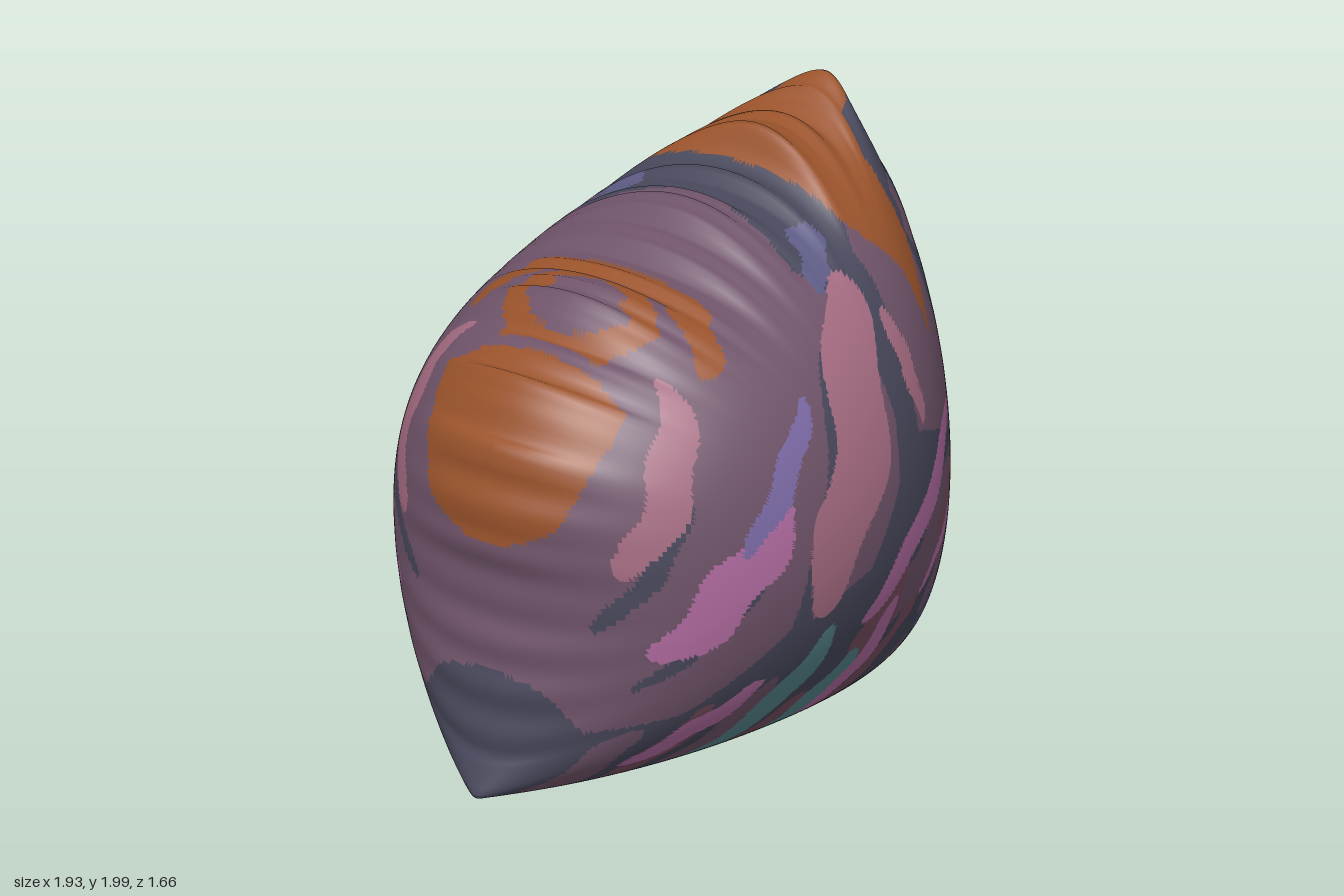
import * as THREE from 'three';

const paint = (name, color) => Object.assign(new THREE.MeshStandardMaterial({ color }), { name });
const materials = [
  paint('dark slate', 0x48485c), paint('mauve', 0x70546a), paint('dusty pink', 0xa66c82),
  paint('orchid', 0xb26ca2), paint('violet', 0x7c6aa6), paint('rust orange', 0x9a532b),
  paint('teal', 0x56868c), paint('slate blue', 0x5e5c86), paint('plum', 0x784e60),
];
const [DARK, MAUVE, PINK, ORCHID, VIOLET, ORANGE, TEAL, BLUE, PLUM] = materials.keys();

// Outline of the boulder, clockwise seen from the front
const outline = [
  [-.93, 1], [-.89, 1.23], [-.76, 1.43], [-.6, 1.5], [-.45, 1.64], [-.2, 1.63], [.1, 1.79],
  [.17, 1.75], [.36, 1.8], [.45, 1.91], [.61, 1.89], [.78, 2], [.8, 1.84], [.86, 1.74], [.89, 1.4],
  [.91, 1], [.91, .3], [.97, .06], [.5, 0], [-.35, .03], [-.97, .07], [-.92, .2], [-.89, .75],
];

// Large areas of colour, as polygons in the front plane
const orangeAreas = [
  [[.38, 2], [.37, 1.72], [.5, 1.55], [.53, 1.34], [.62, 1.6], [.63, 1.82], [.68, 1.91], [.8, 1.97], [.8, 2.1]],
  [[-1.1, 1], [-.92, .93], [-.8, 1.2], [-.65, 1.38], [-.62, 1.6], [-1, 1.6]],
];
const mauveAreas = [
  [[-1.1, .9], [-.82, .33], [-.6, .38], [-.3, .65], [0, .76], [.15, 1], [.24, 1.5], [.1, 1.64], [.2, 1.9], [-.8, 1.7]],
  [[.3, 1.12], [.31, 1.6], [.4, 1.75], [.6, 1.75], [.63, 1.4], [.7, .98]],
];

// Leaf-shaped strokes: start, end, half width
const frontStrokes = [
  [VIOLET, [[-.48, .92, -.14, 1.35, .04], [.49, .33, .62, .6, .04], [.62, .14, .84, .46, .035]]],
  [ORCHID, [[-.7, .58, -.3, 1.08, .085], [0, .56, .58, 1.11, .05], [.34, .54, .62, .82, .025],
    [-.68, .18, -.36, .46, .04], [-.02, .08, .18, .6, .05]]],
  [ORANGE, [[-.4, 1.44, -.2, 1.68, .04], [-.6, 1.49, -.32, 1.64, .022]]],
  [PINK, [[-.78, .87, -.5, 1.45, .055], [-.24, .66, .22, 1.62, .12], [.31, 1.5, .34, 1.13, .035]]],
  [TEAL, [[-.44, .02, -.13, .6, .06], [-.16, .01, .03, .46, .07]]],
  [BLUE, [[.46, 0, .62, .3, .05], [.12, 1.58, .28, 1.72, .035]]],
  [PLUM, [[.42, .7, .62, .98, .045], [0, .3, .2, .75, .08]]],
  [DARK, [[-.33, .55, 0, 1.45, .04], [-.82, .68, -.6, 1.12, .025], [-.74, .48, -.4, .85, .025],
    [.2, .95, .3, 1.75, .06]]],
  [MAUVE, [[.15, .5, .66, 1, .1], [.68, 1.53, .74, 1.75, .06]]],
];
// Slanting mauve and plum streaks fill the dark foot
for (let k = 0; k < 9; k++) {
  const x = -.9 + k * .19, low = -.06 + .06 * (k % 3);
  frontStrokes.push([k % 2 ? PLUM : MAUVE, [[x, low, x + .2, low + .4, .05]]]);
  if (k > 5) frontStrokes.push([k % 2 ? MAUVE : PLUM, [[x, .42, x + .14, .76, .05]]]);
}
// Strokes on the right flank, as distance from the ridge and height
const flankStrokes = [
  [TEAL, [[.2, .86, .2, .42, .085], [.42, 1.24, .5, .86, .045]]],
  [ORCHID, [[.32, .55, .45, .86, .03]]],
  [VIOLET, [[.2, 1.5, .24, 1.24, .04], [.36, 1.22, .38, .92, .045], [.1, .38, .26, .2, .035],
    [.42, .7, .4, .26, .035]]],
  [DARK, [[.03, 1.25, .04, .4, .06], [.1, .4, .16, .12, .03], [.23, 1.18, .23, .9, .02]]],
  [BLUE, [[.16, 1.74, .24, .84, .16], [.02, 1.62, .02, 1.15, .08], [.14, .88, .12, .44, .07], [.02, .02, .26, .4, .14]]],
  [PLUM, [[.43, 1.76, .43, 1.5, .06], [.33, .85, .32, .3, .05]]],
  [MAUVE, [[.6, 1.55, .58, 1, .06], [.5, .85, .48, .35, .05]]],
];

function inPolygon(x, y, poly) {
  let inside = false;
  poly.forEach(([ax, ay], i) => {
    const [bx, by] = poly[(i + 1) % poly.length];
    if (ay > y !== by > y && x < ax + (bx - ax) * (y - ay) / (by - ay)) inside = !inside;
  });
  return inside;
}

function inStroke(x, y, [ax, ay, bx, by, half]) {
  const dx = bx - ax, dy = by - ay, len = Math.hypot(dx, dy);
  const t = ((x - ax) * dx + (y - ay) * dy) / (len * len);
  if (t <= 0 || t >= 1) return false;
  const off = ((y - ay) * dx - (x - ax) * dy) / len;
  const wobble = half * .2 * Math.sin(t * 13 + ax * 20);
  return Math.abs(off + wobble) < half * (4 * t * (1 - t)) ** .45;
}

function colourAt(x, y, z) {
  const hit = (list, u, v) => list.find(([, strokes]) => strokes.some(s => inStroke(u, v, s)));
  if (orangeAreas.some(p => inPolygon(x, y, p))) return ORANGE;
  const flank = x > .72 && Math.abs(z) < .56;
  const found = flank ? hit(flankStrokes, Math.abs(z), y) : hit(frontStrokes, x, y);
  if (found) return found[0];
  return !flank && mauveAreas.some(p => inPolygon(x, y, p)) ? MAUVE : DARK;
}

const N = 320, RINGS = 90, DEPTH = .83, cx = .05, cy = .87;

// Smooth waves around the centre, used to shape the swelling
function waves(x, y) {
  const r = Math.hypot(x - cx, y - cy) / 1.1, a = Math.atan2(y - cy, x - cx), out = [1];
  for (let n = 1; n <= 9; n++) out.push(r ** n * Math.cos(n * a), r ** n * Math.sin(n * a));
  return out;
}
const dot = (a, b) => a.reduce((sum, v, i) => sum + v * b[i], 0);
const bowl = (x, y) => ((x - cx) ** 2 + (y - cy) ** 2) / 1.21;

// Least-squares weights that make the swelling vanish along the rim, like an inflated membrane
function fitMembrane(rim) {
  const rows = rim.map(p => waves(p.x, p.y)), size = rows[0].length;
  const m = Array.from({ length: size }, (_, i) => Array.from({ length: size + 1 }, (_, j) =>
    rows.reduce((s, w, k) => s + w[i] * (j < size ? w[j] : bowl(rim[k].x, rim[k].y)), i === j ? 1e-3 : 0)));
  for (let i = 0; i < size; i++) {
    const pivot = m[i][i];
    m[i] = m[i].map(v => v / pivot);
    for (let k = 0; k < size; k++) {
      const f = m[k][i];
      if (k !== i) m[k] = m[k].map((v, j) => v - f * m[i][j]);
    }
  }
  return m.map(row => row[size]);
}

export function createModel() {
  const closed = [...outline, outline[0]].map(([x, y]) => new THREE.Vector2(x, y));
  const rim = new THREE.Shape(closed).getSpacedPoints(N).slice(0, N);
  // Softened rim, so the ragged edge fades out over the swollen faces
  const soft = rim.map((_, j) => {
    const sum = new THREE.Vector2();
    for (let k = -5; k <= 5; k++) sum.add(rim[(j + k + N) % N]);
    return sum.divideScalar(11);
  });
  // Small chips along the sloping top edge and the sides
  rim.forEach(p => {
    if (p.y > 1.2 && p.x < .7) p.y += .012 * Math.sin(p.x * 47) + .008 * Math.sin(p.x * 91);
    else if (p.y > .2 && p.y < 1.8) p.x += .007 * Math.sin(p.y * 40);
  });
  const weights = fitMembrane(soft);
  const swell = (x, y) => (dot(weights, waves(x, y)) - bowl(x, y)) / weights[0];
  const rimSwell = rim.map(p => swell(p.x, p.y));

  const positions = [], groups = materials.map(() => []);
  for (const side of [1, -1]) {
    for (let i = 0; i <= RINGS; i++) {
      const t = Math.sin(i / RINGS * Math.PI / 2);
      for (let j = 0; j < N; j++) {
        const p = soft[j].clone().lerp(rim[j], t ** 10);
        const x = cx + (p.x - cx) * t, y = cy + (p.y - cy) * t;
        const height = i === RINGS ? 0 : Math.max(0, swell(x, y) - rimSwell[j] * t ** 12);
        positions.push(x, y, side * DEPTH * Math.sqrt(height));
      }
    }
  }
  // Each face joins the group of the colour at its middle
  const addFace = (a, b, c) => {
    const mid = k => (positions[a * 3 + k] + positions[b * 3 + k] + positions[c * 3 + k]) / 3;
    groups[colourAt(mid(0), mid(1), mid(2))].push(a, b, c);
  };
  for (const half of [0, 1]) {
    const base = half * (RINGS + 1) * N;
    for (let i = 0; i < RINGS; i++) {
      for (let j = 0; j < N; j++) {
        const a = base + i * N + j, b = a + N, d = base + i * N + (j + 1) % N, c = d + N;
        if (half === 0) { addFace(a, c, b); if (i) addFace(a, d, c); }
        else { addFace(a, b, c); if (i) addFace(a, c, d); }
      }
    }
  }

  const geometry = new THREE.BufferGeometry();
  geometry.setAttribute('position', new THREE.Float32BufferAttribute(positions, 3));
  geometry.setIndex(groups.flat());
  let start = 0;
  groups.forEach((g, m) => {
    geometry.addGroup(start, g.length, m);
    start += g.length;
  });
  geometry.computeVertexNormals();

  const boulder = new THREE.Mesh(geometry, materials);
  boulder.name = 'paintedBoulder';
  const model = new THREE.Group();
  model.name = 'boulder';
  model.add(boulder);
  return model;
}
